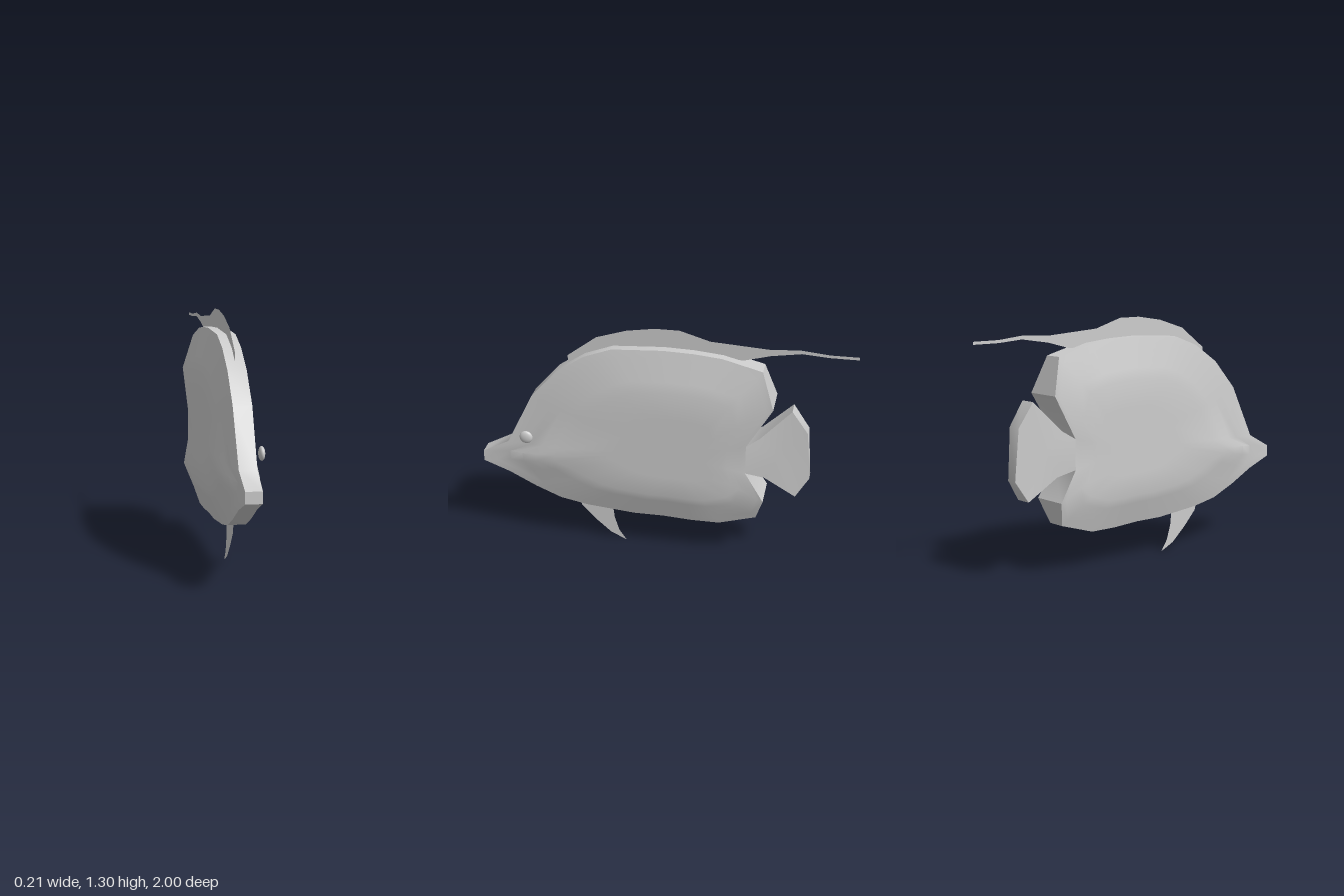
import * as THREE from 'three';
import { toCreasedNormals } from 'three/addons/utils/BufferGeometryUtils.js';

const material = new THREE.MeshStandardMaterial({ color: 0xcccccc });
const finMaterial = new THREE.MeshStandardMaterial({ color: 0xcccccc, side: THREE.DoubleSide });

// Outlines run nose -> top -> tail -> belly as [z, y, half thickness at the rim].
const bodyOutline = [
  [1, 0.515, 0.042], [0.855, 0.59, 0.045], [0.71, 0.88, 0.048], [0.57, 1.035, 0.048],
  [0.42, 1.135, 0.048], [0.27, 1.19, 0.048], [0, 1.205, 0.048], [-0.16, 1.2, 0.048],
  [-0.31, 1.185, 0.048], [-0.52, 1.13, 0.05], [-0.585, 0.94, 0.1], [-0.45, 0.71, 0.09],
  [-0.45, 0.55, 0.09], [-0.55, 0.39, 0.1], [-0.51, 0.26, 0.05], [-0.31, 0.2, 0.046],
  [-0.16, 0.2, 0.046], [0, 0.21, 0.046], [0.16, 0.21, 0.046], [0.42, 0.235, 0.046],
  [0.57, 0.265, 0.046], [0.71, 0.325, 0.046], [0.855, 0.4, 0.045], [1, 0.455, 0.042],
];
const tailOutline = [
  [-0.45, 0.71, 0.09], [-0.52, 0.755, 0.07], [-0.68, 0.915, 0.045], [-0.765, 0.79, 0.038],
  [-0.785, 0.52, 0.03], [-0.715, 0.41, 0.045], [-0.55, 0.52, 0.065], [-0.45, 0.55, 0.09],
];

// Two mirrored, bulging sides made of shrinking rings, joined by a rim strip.
function bulgedPlate(outline, [cz, cy], scales, thickness) {
  const n = outline.length;
  const pos = [];
  const point = (r, i, side) => {
    const s = scales[r];
    const [z, y, h] = outline[i % n];
    const pz = cz + (z - cz) * s;
    return [side * thickness(s, h, pz), cy + (y - cy) * s, pz];
  };
  const quad = (a, b, c, d) => pos.push(...a, ...b, ...c, ...a, ...c, ...d);
  for (let i = 0; i < n; i++) {
    for (let r = 0; r < scales.length - 1; r++) {
      const last = scales[r + 1] === 0;
      for (const side of [1, -1]) {
        const a = point(r, i, side), b = point(r + 1, i, side);
        const c = point(r + 1, i + 1, side), d = point(r, i + 1, side);
        if (last) pos.push(...(side > 0 ? [a, b, d] : [a, d, b]).flat());
        else if (side > 0) quad(a, b, c, d);
        else quad(a, d, c, b);
      }
    }
    quad(point(0, i, 1), point(0, i + 1, 1), point(0, i + 1, -1), point(0, i, -1));
  }
  const geometry = new THREE.BufferGeometry();
  geometry.setAttribute('position', new THREE.Float32BufferAttribute(pos, 3));
  return toCreasedNormals(geometry, 0.65);
}

// Flat fin in the middle plane, drawn as [z, y] points.
function flatFin(points) {
  const shape = new THREE.Shape(points.map(([z, y]) => new THREE.Vector2(z, y)));
  return new THREE.ShapeGeometry(shape).rotateY(-Math.PI / 2);
}

export function createModel() {
  const group = new THREE.Group();
  const add = (name, geometry, mat = material) => {
    const mesh = new THREE.Mesh(geometry, mat);
    mesh.name = name;
    mesh.position.x = -0.004;
    group.add(mesh);
    return mesh;
  };

  // Body: thin at the rim, full in the middle, narrowing towards the snout
  const bodyThickness = (s, h, z) => {
    const bulge = THREE.MathUtils.lerp(h, 0.101, Math.min(1, (1 - s) / 0.38));
    const snout = z > 0.85 ? 0.047 - (z - 0.85) * 0.03 : 0.047 + (0.85 - z) * 0.36;
    return Math.min(bulge, snout);
  };
  add('body', bulgedPlate(bodyOutline, [-0.1, 0.63], [1, 0.93, 0.86, 0.79, 0.72, 0.62, 0.35, 0], bodyThickness));

  // Tail fin: thick at the root, thin at the trailing edge
  add('tailFin', bulgedPlate(tailOutline, [-0.62, 0.65], [1, 0],
    (s, h) => (s === 0 ? 0.055 : h)));

  // Long trailing back fin
  add('dorsalFin', flatFin([
    [0.515, 1.07], [0.515, 1.115], [0.36, 1.23], [0.2, 1.28], [0.05, 1.303], [-0.08, 1.303],
    [-0.24, 1.255], [-0.55, 1.235], [-0.7, 1.245], [-0.85, 1.23], [-1, 1.23], [-1, 1.215],
    [-0.85, 1.215], [-0.71, 1.225], [-0.55, 1.2], [-0.42, 1.165], [-0.3, 1.16], [0, 1.18],
    [0.27, 1.16], [0.42, 1.11],
  ]), finMaterial);

  // Hooked belly fin
  add('pelvicFin', flatFin([
    [0.48, 0.26], [0.465, 0.2], [0.39, 0.12], [0.3, 0.04], [0.215, 0],
    [0.255, 0.06], [0.28, 0.14], [0.29, 0.23],
  ]), finMaterial);

  // Single eye on the left side
  const eye = add('eye', new THREE.SphereGeometry(0.036, 20, 14));
  eye.scale.x = 0.45;
  eye.position.set(0.085, 0.65, 0.74);

  return group;
}
